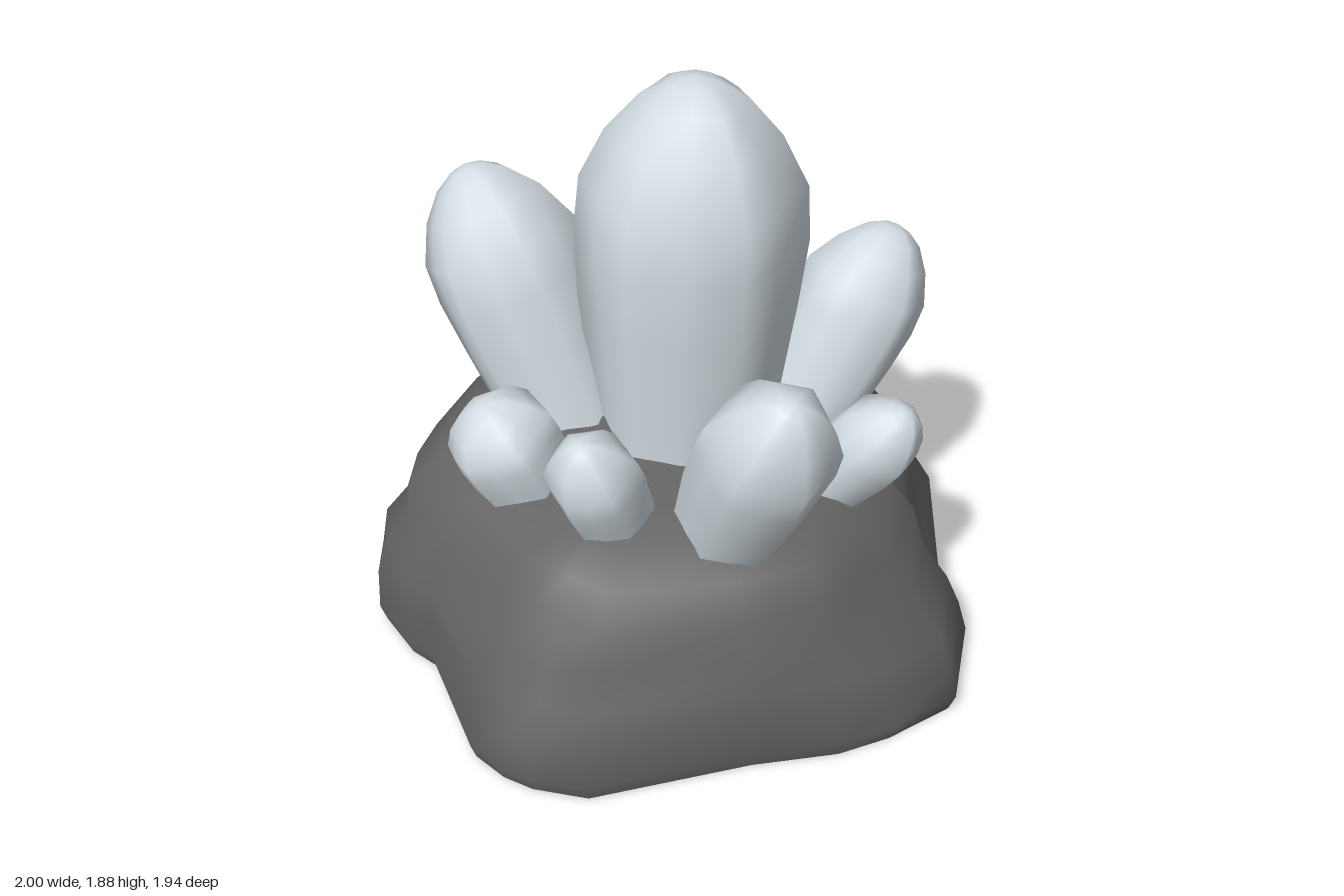
import * as THREE from 'three';

// Small seeded random in [-1, 1]
function seeded(seed) {
  let s = seed;
  return () => {
    s = (s * 16807) % 2147483647;
    return (s / 2147483647) * 2 - 1;
  };
}

// Skin a stack of closed rings (clockwise from above), finished with one apex point
function skin(rings, apex) {
  const n = rings[0].length;
  const pos = [];
  const index = [];
  rings.forEach((ring) => ring.forEach((p) => pos.push(p.x, p.y, p.z)));
  pos.push(apex.x, apex.y, apex.z);
  const last = rings.length - 1;
  for (let i = 0; i < n; i++) {
    const j = (i + 1) % n;
    for (let k = 0; k < last; k++) {
      const a = k * n + i, b = k * n + j;
      index.push(a, a + n, b, b, a + n, b + n);
    }
    index.push(last * n + i, rings.length * n, last * n + j);
  }
  const geo = new THREE.BufferGeometry();
  geo.setAttribute('position', new THREE.Float32BufferAttribute(pos, 3));
  geo.setIndex(index);
  geo.computeVertexNormals();
  return geo;
}

// Footprint of the rock, clockwise from above: x, z, and how far the shoulder draws in
const FOOTPRINT = [
  [0.9, 0.21, 0.8], [0.8, 0.35, 0.84], [0.6, 0.53, 0.91], [0.26, 0.9, 0.8],
  [0.1, 0.96, 0.78], [0.0, 0.97, 0.77], [-0.12, 0.95, 0.79], [-0.46, 0.72, 0.88],
  [-0.57, 0.71, 0.86], [-0.74, 0.64, 0.83], [-0.86, 0.51, 0.82], [-0.88, 0.32, 0.86],
  [-1, 0, 0.8], [-0.91, -0.2, 0.82], [-0.76, -0.39, 0.88], [-0.7, -0.58, 0.82],
  [-0.61, -0.8, 0.76], [-0.42, -0.93, 0.72], [-0.22, -0.97, 0.71], [-0.03, -0.86, 0.82],
  [0.18, -0.87, 0.82], [0.4, -0.88, 0.81], [0.59, -0.68, 0.86], [0.79, -0.33, 0.82],
  [0.9, -0.29, 0.76], [1, 0, 0.74],
];

// Height, blend from footprint to shoulder, extra shrink
const LEVELS = [
  [0, 0, 0.98], [0.06, 0, 1], [0.18, 0.1, 1], [0.3, 0.28, 1], [0.4, 0.64, 1],
  [0.53, 0.95, 1], [0.61, 1, 0.91], [0.67, 1, 0.77], [0.72, 1, 0.57], [0.775, 1, 0.3],
];

function makeRock(material) {
  const rand = seeded(41);
  const rings = LEVELS.map(([y, blend, shrink], k) =>
    FOOTPRINT.map(([x, z, f]) => {
      const rough = k > 1 ? rand() * 0.016 : 0;
      const s = (1 - (1 - f) * blend) * shrink + rough;
      const lift = k > 1 ? rand() * 0.016 - x * 0.03 : 0;
      return new THREE.Vector3(x * s, y + lift, z * s);
    }));
  const group = new THREE.Group();
  group.name = 'rock';
  const body = new THREE.Mesh(skin(rings, new THREE.Vector3(0, 0.8, 0)), material);
  body.name = 'rockBody';

  // Flat underside
  const outline = FOOTPRINT.map(([x, z]) => new THREE.Vector2(x * 0.98, z * 0.98));
  const base = new THREE.Mesh(new THREE.ShapeGeometry(new THREE.Shape(outline)), material);
  base.rotation.x = Math.PI / 2;
  base.name = 'rockUnderside';
  group.add(body, base);
  return group;
}

// Position along the crystal and relative radius
const CRYSTAL_PROFILE = [
  [0, 0.8], [0.2, 0.86], [0.45, 0.96], [0.62, 1], [0.75, 0.97],
  [0.87, 0.73], [0.95, 0.46], [0.985, 0.22],
];

// Six-sided crystal with softened edges, from base to tip
function makeCrystal({ name, base, tip, radius, seed }, material) {
  const rand = seeded(seed * 977 + 13);
  const from = new THREE.Vector3(...base);
  const axis = new THREE.Vector3(...tip).sub(from);
  const length = axis.length();
  const sides = Array.from({ length: 12 }, (_, i) => (i % 2 ? 0.9 : 1.02) + rand() * 0.025);
  const rings = CRYSTAL_PROFILE.map(([t, r]) =>
    sides.map((side, i) => {
      const a = (i / 12) * Math.PI * 2;
      const d = radius * r * side * (1 + rand() * 0.02);
      return new THREE.Vector3(
        -Math.sin(a) * d, t * length + rand() * 0.012 * radius, Math.cos(a) * d);
    }));
  const mesh = new THREE.Mesh(skin(rings, new THREE.Vector3(0, length, 0)), material);
  mesh.position.copy(from);
  mesh.quaternion.setFromUnitVectors(new THREE.Vector3(0, 1, 0), axis.normalize());
  mesh.name = name;
  return mesh;
}

const CRYSTALS = [
  { name: 'mainCrystal', base: [0.02, 0.6, 0.02], tip: [0.06, 1.885, 0.015], radius: 0.33 },
  { name: 'largeRightCrystal', base: [-0.24, 0.55, 0.12], tip: [-0.65, 1.48, 0.15], radius: 0.248 },
  { name: 'largeLeftCrystal', base: [0.3, 0.53, 0.25], tip: [0.62, 1.27, 0.42], radius: 0.195 },
  { name: 'largeBackCrystal', base: [0.21, 0.53, -0.28], tip: [0.41, 1.24, -0.6], radius: 0.2 },
  { name: 'smallBackCrystal', base: [0.02, 0.52, -0.34], tip: [0.01, 0.97, -0.62], radius: 0.14 },
  { name: 'smallBackRightCrystal', base: [-0.22, 0.55, -0.24], tip: [-0.36, 1.11, -0.42], radius: 0.14 },
  { name: 'smallLeftCrystal', base: [0.4, 0.53, -0.07], tip: [0.72, 0.96, -0.1], radius: 0.135 },
  { name: 'smallRightCrystal', base: [-0.4, 0.55, -0.18], tip: [-0.68, 0.9, -0.23], radius: 0.13 },
  { name: 'smallFrontCrystal', base: [0.06, 0.54, 0.39], tip: [0.05, 1.01, 0.59], radius: 0.137 },
  { name: 'smallFrontRightCrystal', base: [-0.23, 0.54, 0.38], tip: [-0.35, 0.95, 0.52], radius: 0.17 },
];

export function createModel() {
  const stone = new THREE.MeshStandardMaterial({ color: 0x636363 });
  stone.name = 'dark stone';
  const crystal = new THREE.MeshStandardMaterial({ color: 0xd2dce2 });
  crystal.name = 'pale crystal';

  const model = new THREE.Group();
  model.name = 'crystalCluster';
  model.add(makeRock(stone));
  CRYSTALS.forEach((spec, i) => model.add(makeCrystal({ ...spec, seed: i + 1 }, crystal)));
  return model;
}
